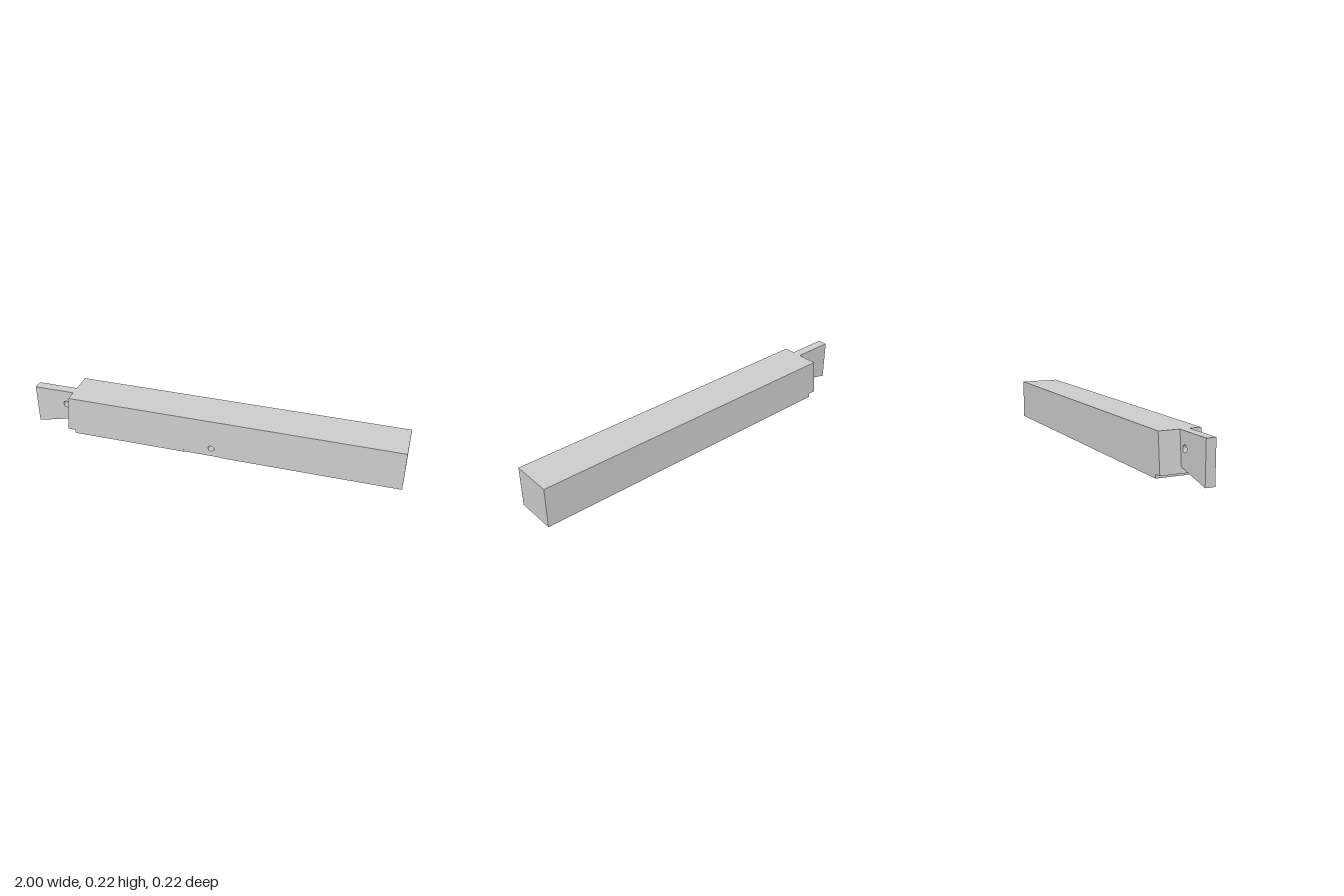
import * as THREE from 'three';

const material = new THREE.MeshStandardMaterial({ color: 0xcccccc, flatShading: true });

// Extrudes an x-y outline between two z planes, with optional round holes [x, y, r].
function slab(name, points, z0, z1, holes = []) {
  const shape = new THREE.Shape(points.map(([x, y]) => new THREE.Vector2(x, y)));
  for (const [x, y, r] of holes) {
    const path = new THREE.Path();
    path.absarc(x, y, r, 0, Math.PI * 2, true);
    shape.holes.push(path);
  }
  const geometry = new THREE.ExtrudeGeometry(shape, { depth: z1 - z0, bevelEnabled: false, curveSegments: 24 });
  geometry.translate(0, 0, z0);
  const mesh = new THREE.Mesh(geometry, material);
  mesh.name = name;
  return mesh;
}

export function createModel() {
  const group = new THREE.Group();
  group.name = 'timberBeam';
  const half = 0.109, top = 0.218;

  // Beam side outline: sloped shoulder and a small step under its left end
  const start = [[-0.78, top], [-0.8, 0.02], [-0.76, 0.02], [-0.76, 0]];
  const end = [[1, 0], [1, top]];
  const recess = [[-0.14, 0], [-0.14, 0.015], [0.06, 0.015], [0.06, 0]];
  const pegHole = [0.01, 0.05, 0.016];

  // Front skin carries the shallow recess; the peg hole stops inside the beam
  group.add(slab('beamFront', [...start, ...recess, ...end], half - 0.004, half, [pegHole]));
  group.add(slab('beamMiddle', [...start, ...end], 0, half - 0.004, [pegHole]));
  group.add(slab('beamBack', [...start, ...end], -half, 0));

  // Tenon with a sloped underside and a through peg hole
  const tenon = [[-1, top], [-1, 0.002], [-0.797, 0.05], [-0.78, top]];
  group.add(slab('tenon', tenon, 0, 0.05, [[-0.825, 0.138, 0.018]]));
  return group;
}
